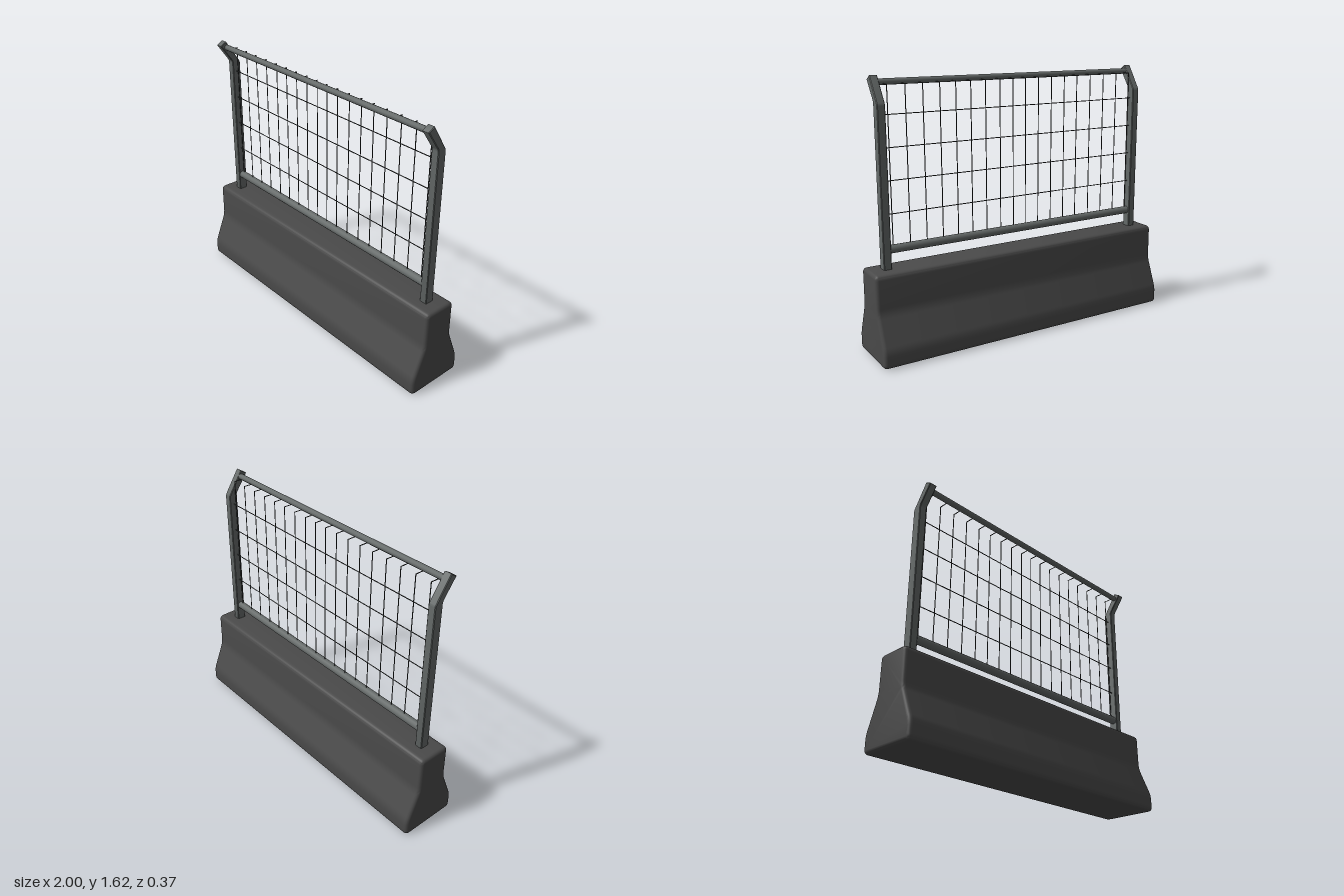
import * as THREE from 'three';
import { toCreasedNormals, mergeGeometries } from 'three/addons/utils/BufferGeometryUtils.js';

const material = (name, color) => {
  const m = new THREE.MeshStandardMaterial({ color });
  m.name = name;
  return m;
};

// Closed outline in (z, y) with softened corners; each point is [z, y, radius]
function roundedOutline(points) {
  const shape = new THREE.Shape();
  points.forEach(([z, y, r], i) => {
    const n = points.length;
    const p = new THREE.Vector2(z, y);
    const toward = (q) => new THREE.Vector2(q[0], q[1]).sub(p).setLength(r).add(p);
    const a = toward(points[(i + n - 1) % n]);
    const b = toward(points[(i + 1) % n]);
    if (i === 0) shape.moveTo(a.x, a.y);
    else shape.lineTo(a.x, a.y);
    shape.quadraticCurveTo(p.x, p.y, b.x, b.y);
  });
  shape.closePath();
  return shape;
}

// Sweep a (z, y) outline along x, centred on x = 0, with rounded ends
function sweepAlongX(shape, length, bevel, segments) {
  const geo = new THREE.ExtrudeGeometry(shape, {
    depth: length - 2 * bevel,
    curveSegments: 5,
    bevelEnabled: true,
    bevelThickness: bevel,
    bevelSize: bevel,
    bevelOffset: -bevel,
    bevelSegments: segments,
  });
  geo.translate(0, 0, bevel - length / 2).rotateY(-Math.PI / 2);
  return toCreasedNormals(geo, 0.6);
}

function bar(radius, length, sides) {
  return new THREE.CylinderGeometry(radius, radius, length, sides);
}

export function createModel() {
  const model = new THREE.Group();
  const concrete = material('concrete', 0x4a4a4a);
  const steel = material('steel', 0x646968);
  const wire = material('wire', 0x3a3d3d);

  const add = (name, geo, mat, x = 0, y = 0, z = 0) => {
    const mesh = new THREE.Mesh(geo, mat);
    mesh.name = name;
    mesh.position.set(x, y, z);
    model.add(mesh);
    return mesh;
  };

  // Concrete base: wide foot, sloped shoulders, narrow top
  const baseOutline = roundedOutline([
    [-0.187, 0, 0.03], [0.187, 0, 0.03], [0.187, 0.105, 0.03], [0.107, 0.303, 0.03],
    [0.105, 0.53, 0.03], [-0.105, 0.53, 0.03], [-0.107, 0.303, 0.03], [-0.187, 0.105, 0.03],
  ]);
  add('concreteBase', sweepAlongX(baseOutline, 2, 0.02, 3), concrete);

  // Posts with tops bent forward
  const postOutline = roundedOutline([
    [-0.027, 0.5, 0.003], [0.03, 0.5, 0.003], [0.03, 1.475, 0.012],
    [0.113, 1.592, 0.004], [0.072, 1.617, 0.004], [-0.027, 1.465, 0.012],
  ]);
  const postGeo = sweepAlongX(postOutline, 0.048, 0.004, 1);
  add('leftPost', postGeo, steel, 0.893);
  add('rightPost', postGeo, steel, -0.893);

  // Rails between the posts
  add('topRail', bar(0.018, 1.76, 12).rotateZ(Math.PI / 2), steel, 0, 1.578, 0.068);
  add('bottomRail', bar(0.025, 1.76, 12).rotateZ(Math.PI / 2), steel, 0, 0.64, 0.003);

  // Mesh infill: upright wires hooked forward over to the top rail
  const r = 0.0028;
  const wireX = [-0.85, -0.745, -0.64, -0.535, -0.43, -0.333, -0.236, -0.14, -0.046,
    0.042, 0.133, 0.231, 0.329, 0.426, 0.527, 0.632, 0.738, 0.845];
  const uprightGeo = mergeGeometries([
    bar(r, 0.93, 6).translate(0, 1.105, 0),
    bar(r, 0.06, 6).rotateX(Math.PI / 2).translate(0, 1.568, 0.028),
  ]);
  wireX.forEach((x, i) => add(`uprightWire${i + 1}`, uprightGeo, wire, x, 0, 0.003));

  // Cross wires
  const crossGeo = bar(r, 1.76, 6).rotateZ(Math.PI / 2);
  [0.845, 1.036, 1.222, 1.405].forEach((y, i) => add(`crossWire${i + 1}`, crossGeo, wire, 0, y, 0.003));

  return model;
}
